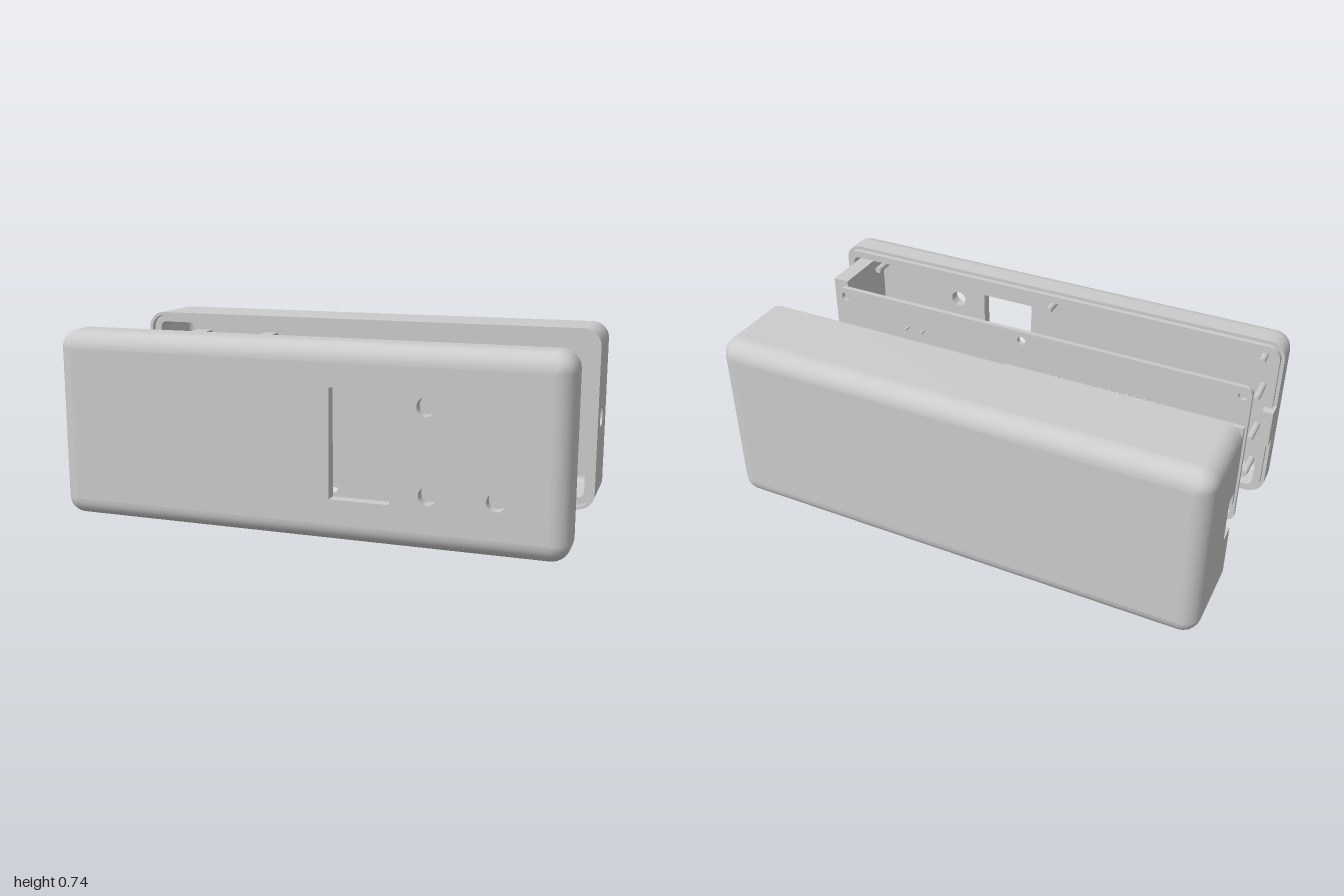
import * as THREE from 'three';
import { toCreasedNormals } from 'three/addons/utils/BufferGeometryUtils.js';

const MID = 0.37, R = 0.07, WALL = 0.045, LIP = 0.014;
const mat = new THREE.MeshStandardMaterial({ color: 0xcccccc });
const V = (x, y) => new THREE.Vector2(x, y);

function add(parent, name, geo, x = 0, y = 0, z = 0) {
  const m = new THREE.Mesh(geo, mat);
  m.name = name;
  m.position.set(x, y, z);
  parent.add(m);
  return m;
}

// box given by its extents
function box(parent, name, x0, x1, y0, y1, z0, z1) {
  return add(parent, name, new THREE.BoxGeometry(x1 - x0, y1 - y0, z1 - z0),
    (x0 + x1) / 2, (y0 + y1) / 2, (z0 + z1) / 2);
}

// round bar along z
function rod(parent, name, r, x, y, z0, z1) {
  const g = new THREE.CylinderGeometry(r, r, z1 - z0, 20).rotateX(Math.PI / 2);
  return add(parent, name, g, x, y, (z0 + z1) / 2);
}

// outline of the case, moved inward by inset; first half of the points is the upper half
function outline(inset) {
  const pts = [], r = R - inset;
  for (let c = 0; c < 4; c++) {
    const sx = c === 0 || c === 3 ? 1 : -1, sy = c < 2 ? 1 : -1;
    for (let i = 0; i <= 8; i++) {
      const a = (c + i / 8) * Math.PI / 2;
      pts.push(V(sx * (1 - R) + r * Math.cos(a), MID + sy * (MID - R) + r * Math.sin(a)));
    }
  }
  return pts;
}

function rect(x0, x1, y0, y1) {
  return [V(x0, y0), V(x1, y0), V(x1, y1), V(x0, y1)];
}

function circle(x, y, r) {
  return new THREE.Path().absarc(x, y, r, 0, Math.PI * 2, true);
}

function extrude(points, holes, depth) {
  const s = new THREE.Shape(points);
  s.holes.push(...holes);
  const g = new THREE.ExtrudeGeometry(s, { depth, bevelEnabled: false, curveSegments: 14 });
  return toCreasedNormals(g, 0.6);
}

// closed ring between two insets
function ring(parent, name, a, b, z0, z1) {
  add(parent, name, extrude(outline(a), [new THREE.Path(outline(b))], z1 - z0), 0, 0, z0);
}

// upper and lower U-shaped halves of a ring, leaving the side flats open
function halfRings(parent, name, a, b, z0, z1) {
  const o = outline(a), n = outline(b), h = o.length / 2;
  for (const k of [0, h]) {
    const pts = [...o.slice(k, k + h), ...n.slice(k, k + h).reverse()];
    add(parent, name, extrude(pts, [], z1 - z0), 0, 0, z0);
  }
}

// plate drawn in (z, y), its outer face at x and growing toward -x
function sidePlate(parent, name, points, holes, thick, x) {
  add(parent, name, extrude(points, holes, thick).rotateY(-Math.PI / 2), x);
}

// quarter-round skin between the wall and the face plate
function fillet(inset, z0, inward) {
  const steps = 8, pos = [], idx = [], r = R - inset;
  let n = 0;
  for (let i = 0; i <= steps; i++) {
    const a = i / steps * Math.PI / 2;
    const loop = outline(inset + r * (1 - Math.cos(a)));
    n = loop.length;
    for (const p of loop) pos.push(p.x, p.y, z0 + r * Math.sin(a));
  }
  for (let i = 0; i < steps; i++) for (let j = 0; j < n; j++) {
    const a = i * n + j, b = i * n + (j + 1) % n, c = b + n, d = a + n;
    if (inward) idx.push(a, c, b, a, d, c);
    else idx.push(a, b, c, a, c, d);
  }
  const g = new THREE.BufferGeometry();
  g.setAttribute('position', new THREE.Float32BufferAttribute(pos, 3));
  g.setIndex(idx);
  g.computeVertexNormals();
  return g;
}

// rounded closed end of a shell, facing +z
function cap(parent, name, holes) {
  const g = new THREE.Group();
  g.name = name;
  add(g, 'outerRounding', fillet(0, 0.47, false));
  add(g, 'innerRounding', fillet(WALL, 0.47, true));
  add(g, 'facePlate', extrude(rect(R - 1, 1 - R, R, 2 * MID - R), holes, WALL), 0, 0, 0.54 - WALL);
  parent.add(g);
  return g;
}

function part(root, name) {
  const g = new THREE.Group();
  g.name = name;
  root.add(g);
  return g;
}

const BUTTONS = [[0.49, 0.53], [0.5, 0.21], [0.745, 0.21]];
const MOUNTS = [-0.915, 0, 0.835].flatMap(x => [[x, 0.65], [x, 0.09]]);

function frontShell(root) {
  const g = part(root, 'frontShell');
  cap(g, 'frontFace', [new THREE.Path(rect(0.13, 0.36, 0.165, 0.58)),
    ...BUTTONS.map(([x, y]) => circle(x, y, 0.034))]);
  ring(g, 'frontWall', 0, WALL, 0.395, 0.47);
  ring(g, 'seamLip', LIP, WALL, 0.375, 0.395);
  // mounting pegs
  for (const [x, y] of [...MOUNTS, [-0.915, 0.47], [-0.915, 0.27]])
    rod(g, 'mountingPeg', 0.014, x, y, 0.378, 0.5);
  // cross-drilled end block and the tab closing the socket notch
  sidePlate(g, 'endBlock', rect(0.2, 0.5, 0.075, 0.67), [circle(0.275, MID, 0.023)], 0.067, 0.947);
  box(g, 'socketTab', -1, -0.957, 0.29, 0.45, 0.34, 0.396);
}

function backShell(root) {
  const g = part(root, 'backShell');
  cap(g, 'backFace', []).rotation.y = Math.PI;
  halfRings(g, 'backWall', 0, WALL, -0.47, -0.222);
  halfRings(g, 'backRim', 0, LIP, -0.222, -0.2);
  const top = 2 * MID - R;
  // right end with the cable hole
  sidePlate(g, 'holeWall', rect(-0.47, -0.222, R, top), [circle(-0.32, MID, 0.045)], WALL, 1);
  box(g, 'rim', 1 - LIP, 1, R, top, -0.222, -0.2);
  // left end with the socket notch
  sidePlate(g, 'notchWall', [V(-0.47, R), V(-0.222, R), V(-0.222, 0.28), V(-0.275, 0.28),
    V(-0.275, 0.46), V(-0.222, 0.46), V(-0.222, top), V(-0.47, top)], [], WALL, WALL - 1);
  box(g, 'rim', -1, LIP - 1, R, 0.28, -0.222, -0.2);
  box(g, 'rim', -1, LIP - 1, 0.46, top, -0.222, -0.2);
  // supports inside: board rails, stops and a cable holder
  for (const [y0, y1] of [[0.595, 0.63], [0.143, 0.165]]) {
    box(g, 'supportRail', -0.91, -0.835, y0, y1, -0.5, -0.185);
    box(g, 'supportRail', -0.56, -0.5, y0, y1, -0.5, -0.185);
  }
  for (const y of [0.145, 0.455]) box(g, 'stopBlock', 0.58, 0.67, y, y + 0.14, -0.5, -0.185);
  for (const y of [0.285, 0.425]) box(g, 'holderArm', 0.64, 0.872, y, y + 0.03, -0.5, -0.185);
  sidePlate(g, 'holderWall', rect(-0.5, -0.185, 0.315, 0.425), [circle(-0.32, MID, 0.023)], 0.03, 0.67);
}

function mainBoard(root) {
  const g = part(root, 'mainBoard');
  const pts = [], x0 = -0.95, x1 = 0.87, y0 = 0.05, y1 = 0.69, r = 0.03;
  [[x1 - r, y1 - r], [x0 + r, y1 - r], [x0 + r, y0 + r], [x1 - r, y0 + r]].forEach(([x, y], c) => {
    for (let i = 0; i <= 5; i++) {
      const a = (c + i / 5) * Math.PI / 2;
      pts.push(V(x + r * Math.cos(a), y + r * Math.sin(a)));
    }
  });
  const holes = MOUNTS.map(([x, y]) => circle(x, y, 0.018));
  for (let i = 0; i < 4; i++) holes.push(circle(0.35, 0.318 + i * 0.037, 0.008));
  add(g, 'board', extrude(pts, holes, 0.02), 0, 0, 0.113);
  // push buttons with four bent legs each
  for (const [x, y] of BUTTONS) {
    const b = part(g, 'pushButton');
    box(b, 'buttonBody', x - 0.045, x + 0.045, y - 0.045, y + 0.045, 0.133, 0.185);
    rod(b, 'buttonCollar', 0.035, x, y, 0.185, 0.2);
    rod(b, 'buttonCap', 0.027, x, y, 0.2, 0.27);
    for (const sx of [-1, 1]) for (const sy of [-1, 1]) {
      const leg = box(b, 'buttonLeg', -0.005, 0.005, -0.003, 0.003, -0.04, 0.04);
      leg.position.set(x + sx * 0.037, y + sy * 0.048, 0.122);
      leg.rotation.x = sy * 0.08;
    }
  }
}

function controllerBoard(root) {
  const g = part(root, 'controllerBoard');
  const holes = [];
  for (const x of [-0.915, 0.015]) for (const y of [0.22, 0.52]) holes.push(circle(x, y, 0.016));
  add(g, 'board', extrude(rect(-0.95, 0.05, 0.185, 0.555), holes, 0.02), 0, 0, 0.045);
  // two header strips with pins
  for (const y of [0.2175, 0.5225]) {
    box(g, 'headerStrip', -0.63, -0.11, y - 0.0175, y + 0.0175, -0.08, 0.045);
    for (let i = 0; i < 14; i++) {
      const x = -0.615 + i * 0.0377;
      box(g, 'headerPin', x - 0.004, x + 0.004, y - 0.004, y + 0.004, 0.06, 0.22);
    }
  }
  // power plug: chamfered block with an open slot toward the end
  const plug = [V(0.045, 0.465), V(-0.065, 0.465), V(-0.08, 0.48), V(-0.08, 0.54), V(-0.055, 0.54),
    V(-0.04, 0.555), V(0.045, 0.555)];
  const slot = new THREE.Path(rect(-0.055, 0.02, 0.485, 0.525));
  sidePlate(g, 'powerPlug', plug, [slot], 0.06, -0.78);
  sidePlate(g, 'powerPlugBack', plug, [], 0.012, -0.775);
  // data socket and chip
  const socket = [V(0.045, 0.29), V(0.024, 0.29), V(0.022, 0.315), V(0.012, 0.315), V(0.002, 0.325),
    V(0.002, 0.415), V(0.012, 0.425), V(0.022, 0.425), V(0.024, 0.45), V(0.045, 0.45)];
  sidePlate(g, 'dataSocket', socket, [], 0.08, -0.87);
  box(g, 'chip', -0.71, -0.55, 0.31, 0.43, 0.028, 0.046);
}

export function createModel() {
  const root = new THREE.Group();
  root.name = 'explodedEnclosure';
  frontShell(root);
  mainBoard(root);
  controllerBoard(root);
  backShell(root);
  return root;
}
